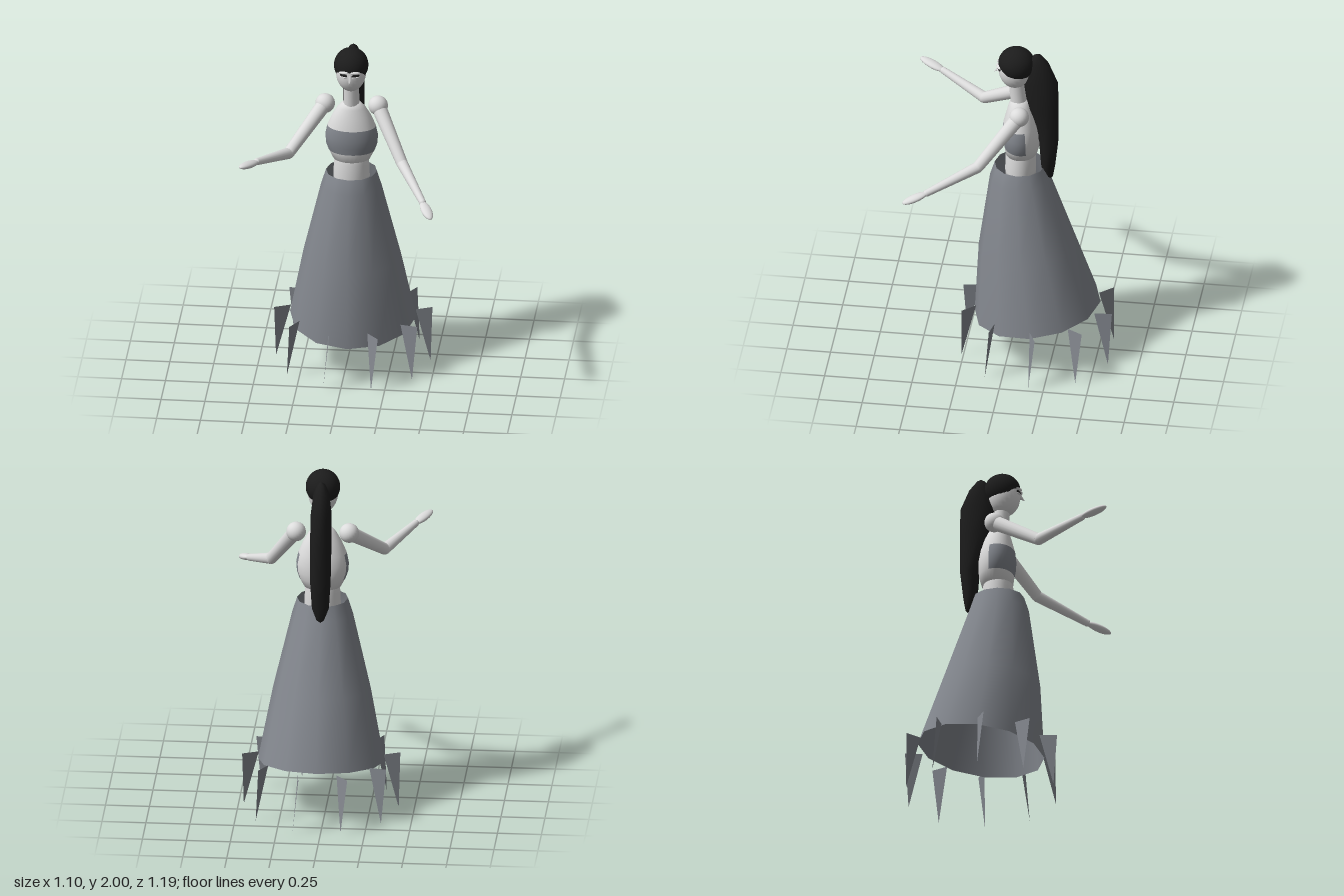
import * as THREE from 'three';

const CX = 0.03; // body axis

const mat = (name, color, side = THREE.FrontSide) => {
  const m = new THREE.MeshStandardMaterial({ color, side });
  m.name = name;
  return m;
};

// Skin a stack of rings (top to bottom); point(i, j) returns [x, y, z]
function skin(rows, cols, point, pick) {
  const pos = [], idx = [], g = new THREE.BufferGeometry();
  for (let i = 0; i < rows; i++)
    for (let j = 0; j < cols; j++) pos.push(...point(i, (j / cols) * Math.PI * 2));
  for (let i = 0; i < rows - 1; i++)
    for (let j = 0; j < cols; j++) {
      const a = i * cols + j, b = i * cols + ((j + 1) % cols);
      if (pick) g.addGroup(idx.length, 6, pick(i, ((j + 0.5) / cols) * Math.PI * 2));
      idx.push(a, a + cols, b, b, a + cols, b + cols);
    }
  g.setAttribute('position', new THREE.Float32BufferAttribute(pos, 3));
  g.setIndex(idx);
  g.computeVertexNormals();
  return g;
}

// Elliptical rings given as [y, centreZ, radiusX, radiusZ]
const loft = (rings, cols, pick) => skin(rings.length, cols, (i, a) => {
  const [y, z, rx, rz] = rings[i];
  return [CX + rx * Math.sin(a), y, z + rz * Math.cos(a)];
}, pick);

export function createModel() {
  const root = new THREE.Group();
  const pale = mat('paleSkin', 0xdcdcdc);
  const cloth = mat('greyCloth', 0x83878e, THREE.DoubleSide);
  const black = mat('blackHair', 0x1c1c1c, THREE.DoubleSide);

  const add = (name, geo, m, parent = root) => {
    const mesh = new THREE.Mesh(geo, m);
    mesh.name = name;
    parent.add(mesh);
    return mesh;
  };
  const ball = (name, p, r, m, parent) => {
    const b = add(name, new THREE.SphereGeometry(1, 24, 16), m, parent);
    b.position.set(...p);
    b.scale.set(...r);
    return b;
  };
  const UP = new THREE.Vector3(0, 1, 0);
  // Tapered limb from p to q
  const limb = (name, p, q, r0, r1, parent) => {
    const a = new THREE.Vector3(...p), b = new THREE.Vector3(...q), d = b.clone().sub(a);
    const m = add(name, new THREE.CylinderGeometry(r1, r0, d.length(), 16), pale, parent);
    m.position.copy(a).add(b).multiplyScalar(0.5);
    m.quaternion.setFromUnitVectors(UP, d.normalize());
    return m;
  };

  // Torso with a cloth band across the front
  const torso = [
    [1.665, -0.05, 0.0, 0.0], [1.66, -0.05, 0.05, 0.045], [1.63, -0.053, 0.078, 0.062],
    [1.58, -0.058, 0.108, 0.08], [1.51, -0.06, 0.138, 0.1], [1.45, -0.062, 0.15, 0.108],
    [1.4, -0.064, 0.146, 0.106], [1.36, -0.066, 0.132, 0.1], [1.31, -0.062, 0.106, 0.09],
    [1.29, -0.06, 0.06, 0.05],
  ];
  add('torso', loft(torso, 32, (i, a) => (i >= 4 && i < 7 && Math.cos(a) > -0.45 ? 1 : 0)), [pale, cloth]);
  add('hips', loft([[1.33, -0.058, 0.094, 0.08], [1.29, -0.058, 0.1, 0.087],
    [1.2, -0.058, 0.104, 0.088], [1.15, -0.058, 0.1, 0.085], [1.15, -0.058, 0, 0]], 24), pale);
  limb('neck', [CX, 1.62, -0.05], [CX, 1.81, -0.03], 0.047, 0.044);

  // Skirt: [front y, back y, centre z, radius], leaning backwards
  const skirt = [[1.23, 1.23, -0.055, 0.145], [1.145, 1.145, -0.055, 0.172],
    [0.67, 0.73, -0.096, 0.278], [0.225, 0.335, -0.155, 0.36]];
  add('skirt', skin(4, 12, (i, a) => {
    const [yf, yb, z, r] = skirt[i], c = Math.cos(a);
    return [CX + r * Math.sin(a), (yf + yb) / 2 + ((yf - yb) / 2) * c, z + r * c];
  }), cloth);

  // Ring of flat fins under the hem
  const fins = new THREE.Group();
  fins.name = 'hemFins';
  root.add(fins);
  const fin = new THREE.BufferGeometry();
  fin.setAttribute('position', new THREE.Float32BufferAttribute(
    [0.355, 0.32, 0, 0.447, 0.32, -0.04, 0.44, 0, -0.002], 3));
  fin.computeVertexNormals();
  for (let k = 0; k < 10; k++) {
    const f = add('hemFin', fin, cloth, fins);
    f.position.set(CX, 0, -0.155);
    f.rotation.y = -(k * 36 - 0.6) * Math.PI / 180;
  }

  // Arms: shoulder, elbow, wrist, fingertip
  const arms = {
    leftArm: [[0.18, 1.635, -0.07], [0.338, 1.38, 0.145], [0.482, 1.272, 0.418], [0.54, 1.23, 0.545]],
    rightArm: [[-0.122, 1.635, -0.07], [-0.303, 1.437, 0.195], [-0.458, 1.497, 0.45], [-0.538, 1.522, 0.59]],
  };
  for (const [name, [s, e, w, t]] of Object.entries(arms)) {
    const arm = new THREE.Group();
    arm.name = name;
    root.add(arm);
    ball('shoulder', s, [0.056, 0.056, 0.056], pale, arm);
    limb('upperArm', s, e, 0.043, 0.033, arm);
    ball('elbow', e, [0.032, 0.032, 0.032], pale, arm);
    limb('forearm', e, w, 0.033, 0.02, arm);
    ball('wrist', w, [0.02, 0.02, 0.02], pale, arm);
    const a = new THREE.Vector3(...w), b = new THREE.Vector3(...t), d = b.clone().sub(a);
    const hand = ball('hand', a.clone().add(b).multiplyScalar(0.5).toArray(), [0.031, 0.019, d.length() / 2 + 0.005], pale, arm);
    hand.lookAt(b);
  }

  // Head and face
  const head = new THREE.Group();
  head.name = 'head';
  root.add(head);
  ball('face', [CX, 1.863, -0.025], [0.086, 0.118, 0.094], pale, head);
  const nose = add('nose', new THREE.ConeGeometry(0.018, 0.05, 4), pale, head);
  nose.position.set(CX, 1.85, 0.076);
  nose.rotation.x = 2.3;
  for (const s of [-1, 1]) {
    const brow = ball('brow', [CX + s * 0.034, 1.893, 0.064], [0.03, 0.008, 0.012], pale, head);
    brow.rotation.z = s * -0.12;
    brow.rotation.y = s * 0.4;
    const eye = ball('eye', [CX + s * 0.034, 1.875, 0.062], [0.024, 0.01, 0.006], black, head);
    eye.rotation.y = s * 0.4;
    const lid = ball('lowerLid', [CX + s * 0.034, 1.866, 0.063], [0.022, 0.005, 0.008], pale, head);
    lid.rotation.y = s * 0.4;
  }

  // Hair cap, cut high over the face and low at the nape
  add('hairCap', skin(13, 32, (i, a) => {
    const back = (1 - Math.cos(a)) / 2;
    const side = Math.min(1, back * 2.6);
    const th = (i / 12) * (1.62 + 0.55 * side * side + 0.25 * back);
    return [CX + 0.098 * Math.sin(th) * Math.sin(a), 1.9 + 0.1 * Math.cos(th),
      -0.034 + 0.104 * Math.sin(th) * Math.cos(a)];
  }), black, head);

  // Long ponytail down the back
  add('ponytail', loft([
    [1.975, -0.155, 0, 0], [1.96, -0.155, 0.022, 0.025], [1.91, -0.16, 0.045, 0.062],
    [1.79, -0.172, 0.06, 0.1], [1.62, -0.187, 0.062, 0.088], [1.39, -0.218, 0.06, 0.055],
    [1.23, -0.215, 0.05, 0.04], [1.16, -0.228, 0.022, 0.015], [1.145, -0.23, 0, 0],
  ], 10), black);

  return root;
}
